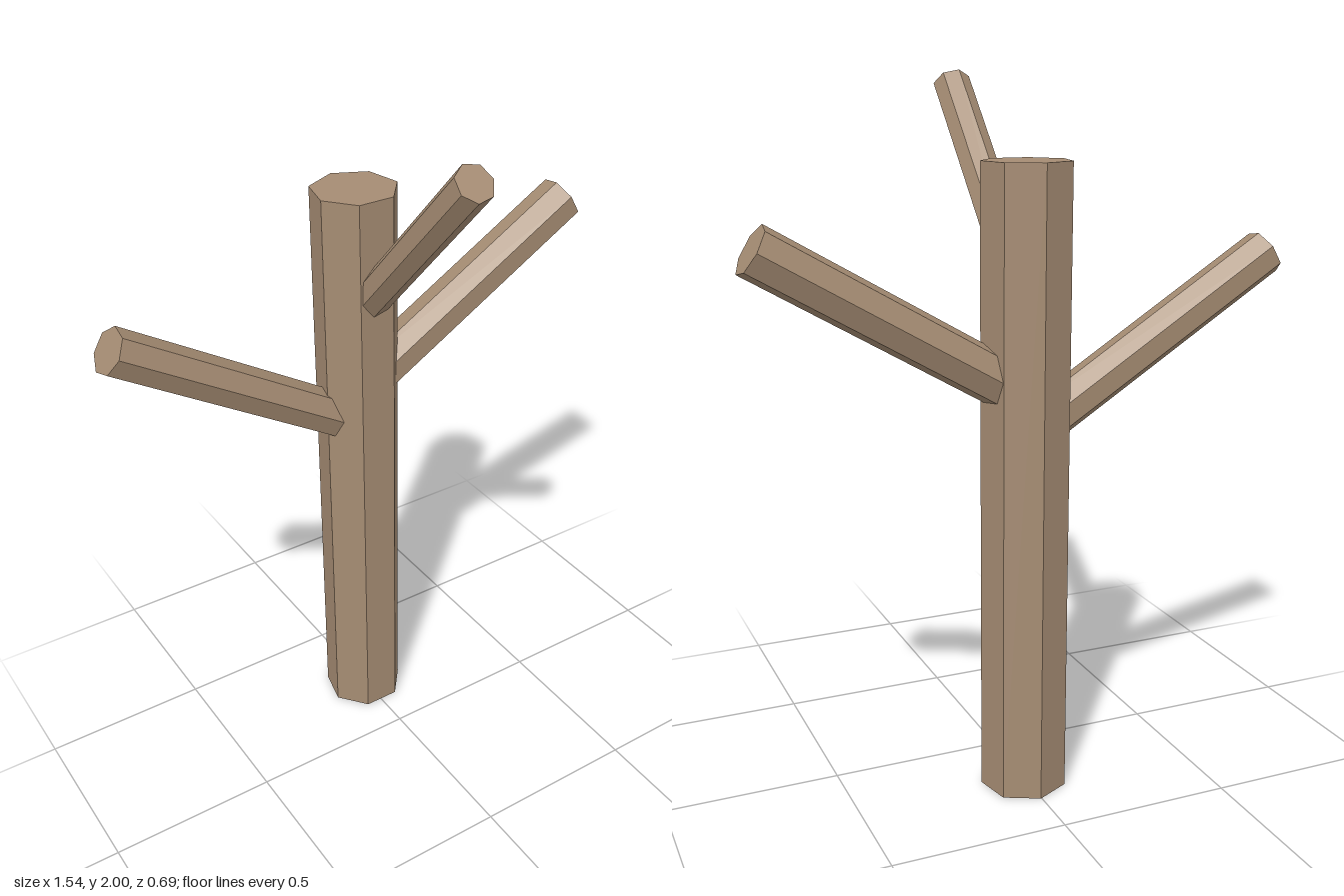
import * as THREE from 'three';

const bark = new THREE.MeshStandardMaterial({ name: 'barkBrown', color: 0xa58c73, flatShading: true });
const SIDES = 7;

// Seven-sided log from base to tip; one corner points along `corner`, turned by `roll` degrees
function log(name, base, tip, radius, corner, roll = 0) {
  const a = new THREE.Vector3(...base), b = new THREE.Vector3(...tip);
  const y = b.clone().sub(a);
  const length = y.length();
  y.normalize();
  const z = new THREE.Vector3(...corner);
  z.addScaledVector(y, -z.dot(y)).normalize();
  const x = y.clone().cross(z);
  const geometry = new THREE.CylinderGeometry(radius, radius, length, SIDES, 1, false, THREE.MathUtils.degToRad(roll));
  const mesh = new THREE.Mesh(geometry, bark);
  mesh.name = name;
  mesh.quaternion.setFromRotationMatrix(new THREE.Matrix4().makeBasis(x, y, z));
  mesh.position.copy(a).add(b).multiplyScalar(0.5);
  return mesh;
}

export function createModel() {
  const group = new THREE.Group();
  group.name = 'bareTree';
  const z = -0.226;
  group.add(
    log('trunk', [0.003, 0, z], [0.003, 1.776, z], 0.1236, [0, 0, -1]),
    // Side branches
    log('leftBranch', [0.003, 1.152, -0.229], [0.735, 1.58, -0.229], 0.0715, [0, 0, -1]),
    log('rightBranch', [0.003, 1.04, -0.227], [-0.738, 1.504, -0.227], 0.067, [0, 0, 1], 3),
    // Upper branch reaching forward
    log('frontBranch', [0.005, 1.396, z], [0.005, 1.967, 0.307], 0.054, [0, 1, 0], 10),
  );
  return group;
}
